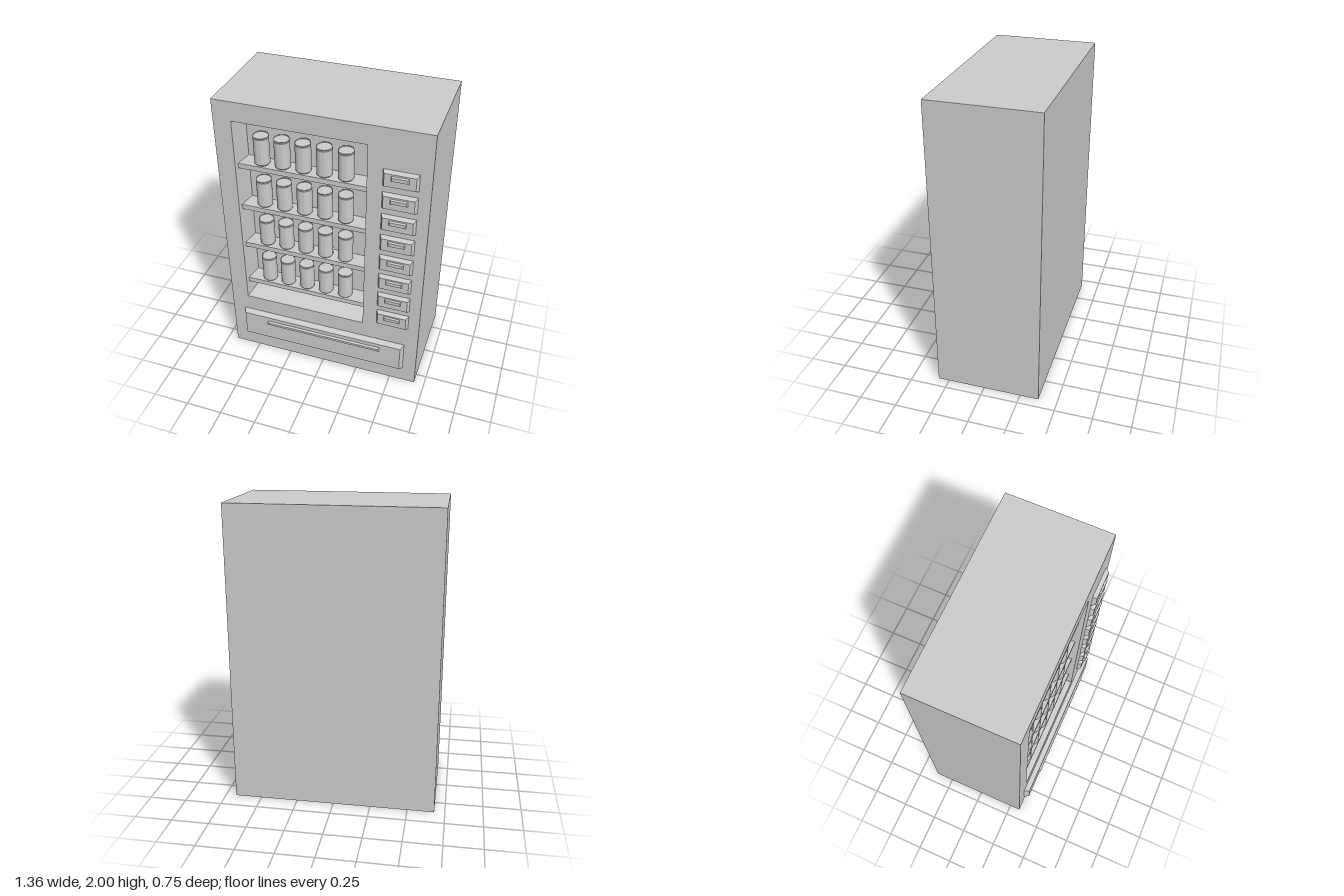
import * as THREE from 'three';
import { toCreasedNormals } from 'three/addons/utils/BufferGeometryUtils.js';

const FRONT = 0.325, BACK = -0.375, RECESS = 0.145;

// Plate from x0..x1, y0..y1 standing on plane z, its front edges drawn in by inset
function plateGeometry(x0, x1, y0, y1, z, depth, inset) {
  const w = x1 - x0, h = y1 - y0;
  const g = new THREE.BoxGeometry(w, h, depth);
  const p = g.attributes.position;
  for (let i = 0; i < p.count; i++) {
    if (p.getZ(i) > 0) {
      p.setX(i, p.getX(i) - Math.sign(p.getX(i)) * inset);
      p.setY(i, p.getY(i) - Math.sign(p.getY(i)) * inset);
    }
  }
  g.computeVertexNormals();
  g.translate((x0 + x1) / 2, (y0 + y1) / 2, z + depth / 2);
  return g;
}

function rectPoints(x0, x1, y0, y1) {
  return [[x0, y0], [x1, y0], [x1, y1], [x0, y1]].map(([x, y]) => new THREE.Vector2(x, y));
}

// Front frame with a display opening that narrows towards the back
function frameGeometry() {
  const shape = new THREE.Shape(rectPoints(-0.68, 0.68, 0, 2));
  const x0 = -0.56, x1 = 0.29, y0 = 0.465, y1 = 1.87, taper = 0.028;
  shape.holes.push(new THREE.Path(rectPoints(x0, x1, y0, y1).reverse()));
  const g = new THREE.ExtrudeGeometry(shape, { depth: RECESS, bevelEnabled: false });
  const p = g.attributes.position;
  const cx = (x0 + x1) / 2, cy = (y0 + y1) / 2;
  for (let i = 0; i < p.count; i++) {
    const x = p.getX(i), y = p.getY(i);
    if (p.getZ(i) < 0.001 && Math.abs(x) < 0.6) {
      p.setX(i, x - Math.sign(x - cx) * taper);
      p.setY(i, y - Math.sign(y - cy) * taper);
    }
  }
  g.computeVertexNormals();
  g.translate(0, 0, FRONT - RECESS);
  return g;
}

// Can with a narrowed foot and a small raised rim
function canGeometry() {
  const profile = [[0, 0.004], [0.038, 0.004], [0.042, 0], [0.05, 0.01], [0.05, 0.188],
    [0.047, 0.192], [0.05, 0.196], [0.05, 0.2], [0.046, 0.2], [0.045, 0.197], [0, 0.197]];
  const g = new THREE.LatheGeometry(profile.map(([x, y]) => new THREE.Vector2(x, y)), 32);
  return toCreasedNormals(g, 0.5);
}

export function createModel() {
  const model = new THREE.Group();
  model.name = 'vendingMachine';
  const grey = new THREE.MeshStandardMaterial({ color: 0xcccccc });
  grey.name = 'light grey';

  function add(name, geometry, parent = model) {
    const mesh = new THREE.Mesh(geometry, grey);
    mesh.name = name;
    parent.add(mesh);
    return mesh;
  }

  // Cabinet
  add('cabinetBody', plateGeometry(-0.68, 0.68, 0, 2, BACK, FRONT - RECESS - BACK, 0));
  add('frontFrame', frameGeometry());

  // Shelves, each with a row of five cans
  const can = canGeometry();
  [1.56, 1.245, 0.932, 0.617].forEach((top) => {
    const row = new THREE.Group();
    row.name = 'shelfRow';
    model.add(row);
    add('shelf', plateGeometry(-0.555, 0.282, top - 0.035, top, FRONT - RECESS - 0.01, RECESS - 0.02, 0), row);
    for (let i = 0; i < 5; i++) {
      add('can', can, row).position.set(-0.411 + i * 0.137, top, 0.242);
    }
  });

  // Selection buttons with raised slots
  for (let i = 0; i < 8; i++) {
    const y = 1.673 - i * 0.1585;
    const button = new THREE.Group();
    button.name = 'selectionButton';
    model.add(button);
    add('buttonBase', plateGeometry(0.386, 0.605, y - 0.057, y + 0.057, FRONT, 0.027, 0.013), button);
    add('buttonSlot', plateGeometry(0.441, 0.551, y - 0.003, y + 0.034, FRONT + 0.026, 0.012, 0.007), button);
  }

  // Collection flap and its handle
  add('collectionFlap', plateGeometry(-0.594, 0.588, 0.119, 0.346, FRONT, 0.035, 0.018));
  add('flapHandle', plateGeometry(-0.405, 0.425, 0.264, 0.299, FRONT + 0.034, 0.014, 0.009));

  return model;
}
